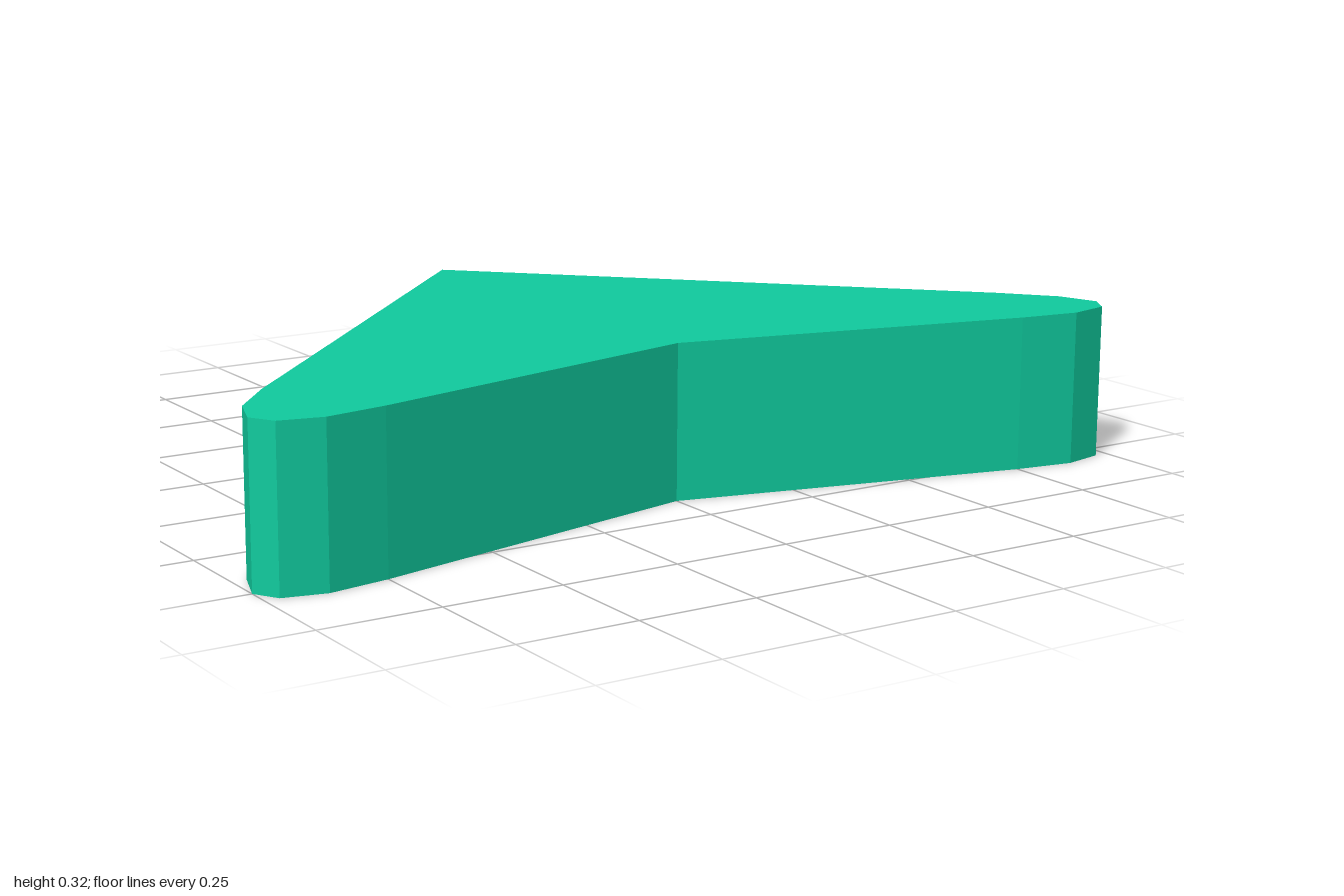
import * as THREE from 'three';

export function createModel() {
  const group = new THREE.Group();
  const height = 0.325;

  // Left half of the plan outline as [x, z], from the rear tip round the wing end to the notch
  const half = [
    [0, -0.57], [0.88, 0.31], [0.97, 0.415], [1, 0.5],
    [0.97, 0.55], [0.88, 0.57], [0.75, 0.55], [0, 0.38],
  ];
  // Mirror it, leaving out the two points on the centre line
  const mirrored = half.slice(1, -1).reverse().map(([x, z]) => [-x, z]);
  const outline = [...half, ...mirrored].map(([x, z]) => new THREE.Vector2(x, -z));

  // Flat arrowhead slab, laid down with its base on the ground
  const geometry = new THREE.ExtrudeGeometry(new THREE.Shape(outline), {
    depth: height,
    bevelEnabled: false,
  });
  geometry.rotateX(-Math.PI / 2);

  const slab = new THREE.Mesh(
    geometry,
    new THREE.MeshStandardMaterial({ color: 0x10cc9f, flatShading: true })
  );
  slab.name = 'arrowheadSlab';
  group.add(slab);
  return group;
}
